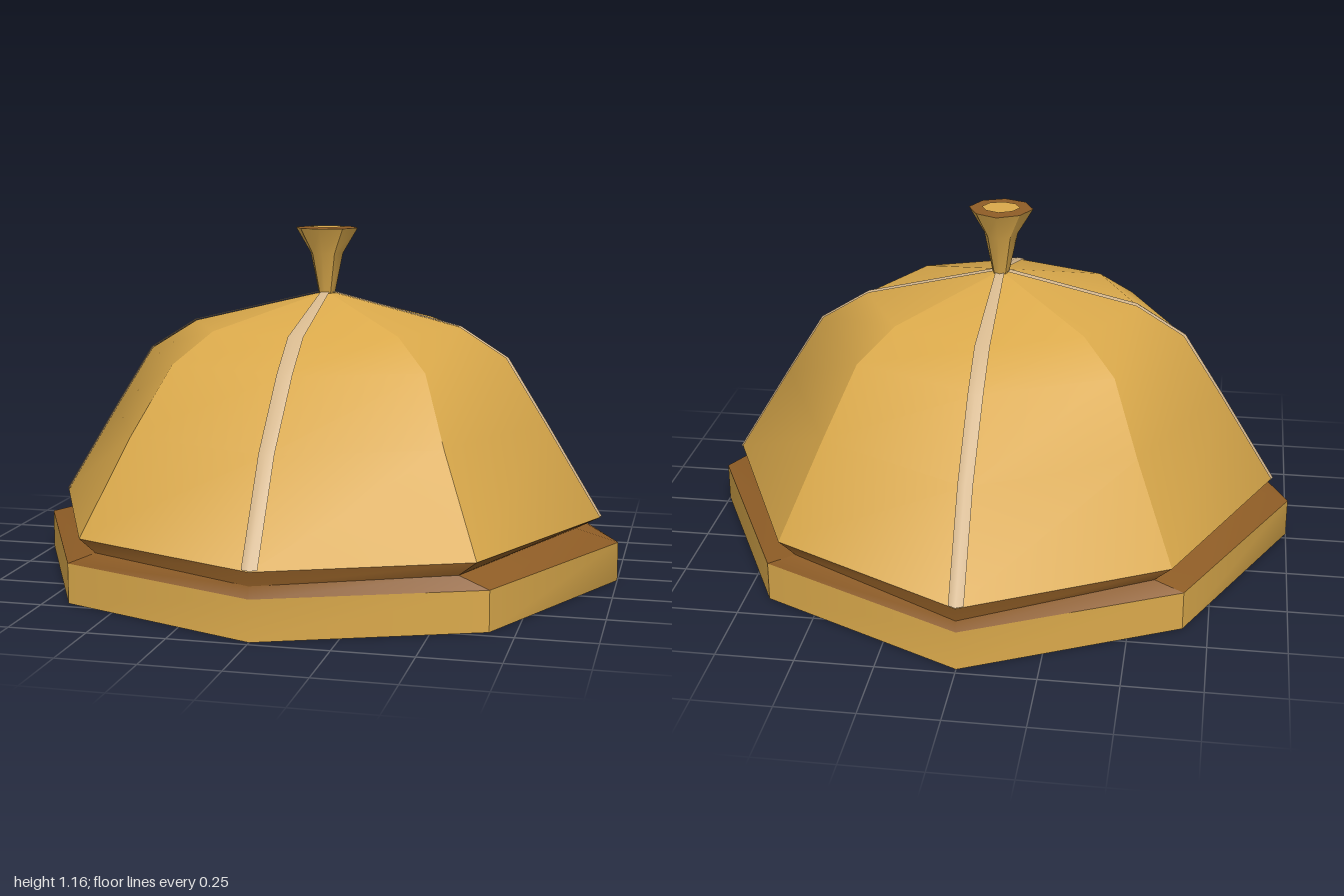
import * as THREE from 'three';

// Octagonal plan (x, z), counter-clockwise seen from above, corners on the axes
const PLAN = [[0, 0.98], [0.67, 0.715], [1, 0.03], [0.67, -0.65],
  [0, -0.98], [-0.67, -0.65], [-1, 0.03], [-0.67, 0.715]];

const gold = new THREE.MeshStandardMaterial({ color: 0xdaa94b });
gold.name = 'gold';
const brown = new THREE.MeshStandardMaterial({ color: 0x8f5d26 });
brown.name = 'brown';
const cream = new THREE.MeshStandardMaterial({ color: 0xd6b88e, side: THREE.DoubleSide });
cream.name = 'cream';

// Rings are [y, xScale, zScale]
const ringPoint = ([y, sx, sz], i) => {
  const [x, z] = PLAN[(i + 8) % 8];
  return new THREE.Vector3(x * sx, y, z * sz);
};

function makeGeometry(points, index) {
  const g = new THREE.BufferGeometry().setFromPoints(points);
  g.setIndex(index);
  g.computeVertexNormals();
  return g;
}

// Grid of rows with `cols` points each, wound to face outward
function gridGeometry(points, cols) {
  const index = [];
  for (let r = 0; r < points.length / cols - 1; r++) {
    for (let c = 0; c < cols - 1; c++) {
      const a = r * cols + c, b = a + 1, d = a + cols, e = d + 1;
      index.push(a, b, e, a, e, d);
    }
  }
  return makeGeometry(points, index);
}

// Four sectors, smooth inside and creased along the diagonal corners
function loft(name, rings, material) {
  const group = new THREE.Group();
  group.name = name;
  for (let s = 0; s < 8; s += 2) {
    const points = rings.flatMap(r => [s - 1, s, s + 1].map(i => ringPoint(r, i)));
    const mesh = new THREE.Mesh(gridGeometry(points, 3), material);
    mesh.name = name + 'Sector';
    group.add(mesh);
  }
  return group;
}

// Flat octagonal cap
function cap(name, ring, material, up = true) {
  const points = [new THREE.Vector3(0, ring[0], 0)];
  const index = [];
  for (let i = 0; i < 8; i++) {
    points.push(ringPoint(ring, i));
    const a = 1 + i, b = 1 + (i + 1) % 8;
    index.push(0, ...(up ? [a, b] : [b, a]));
  }
  const mesh = new THREE.Mesh(makeGeometry(points, index), material);
  mesh.name = name;
  return mesh;
}

// Thin stripe folded over the dome ridge at plan corner i
function stripe(rings, i, halfWidth) {
  const points = rings.flatMap(r => {
    const mid = ringPoint(r, i);
    const lift = new THREE.Vector3(mid.x, 0, mid.z).normalize().multiplyScalar(0.004);
    lift.y = 0.004;
    return [-1, 0, 1].map(side => {
      const p = mid.clone();
      if (side) {
        const edge = ringPoint(r, i + side);
        p.lerp(edge, Math.min(0.9, halfWidth / mid.distanceTo(edge)));
      }
      return p.add(lift);
    });
  });
  const mesh = new THREE.Mesh(gridGeometry(points, 3), cream);
  mesh.name = 'ridgeStripe';
  return mesh;
}

export function createModel() {
  const model = new THREE.Group();
  model.name = 'domedCover';

  // Base plinth with a groove pinched in at the sides
  model.add(cap('underside', [0, 1, 1], brown, false));
  model.add(loft('base', [[0, 1, 1], [0.13, 1, 1]], gold));
  model.add(loft('grooveLower', [[0.13, 1, 1], [0.17, 0.86, 1]], brown));
  model.add(loft('grooveUpper', [[0.17, 0.86, 1], [0.212, 0.94, 1]], brown));

  // Dome and its four ridge stripes
  const domeRings = [[0.212, 0.94, 1], [0.52, 0.752, 0.8], [0.73, 0.62, 0.58],
    [0.83, 0.46, 0.44], [0.935, 0.025, 0.035]];
  model.add(loft('dome', domeRings, gold));
  for (let i = 0; i < 8; i += 2) {
    model.add(stripe(domeRings, i, i % 4 === 0 ? 0.027 : 0.016));
  }

  // Flared knob, with a brown top and a gold centre
  model.add(loft('knob', [[0.93, 0.027, 0.036], [1.07, 0.056, 0.07], [1.155, 0.107, 0.109]], gold));
  model.add(cap('knobTop', [1.155, 0.107, 0.109], brown));
  model.add(cap('knobCentre', [1.158, 0.064, 0.062], gold));
  return model;
}
